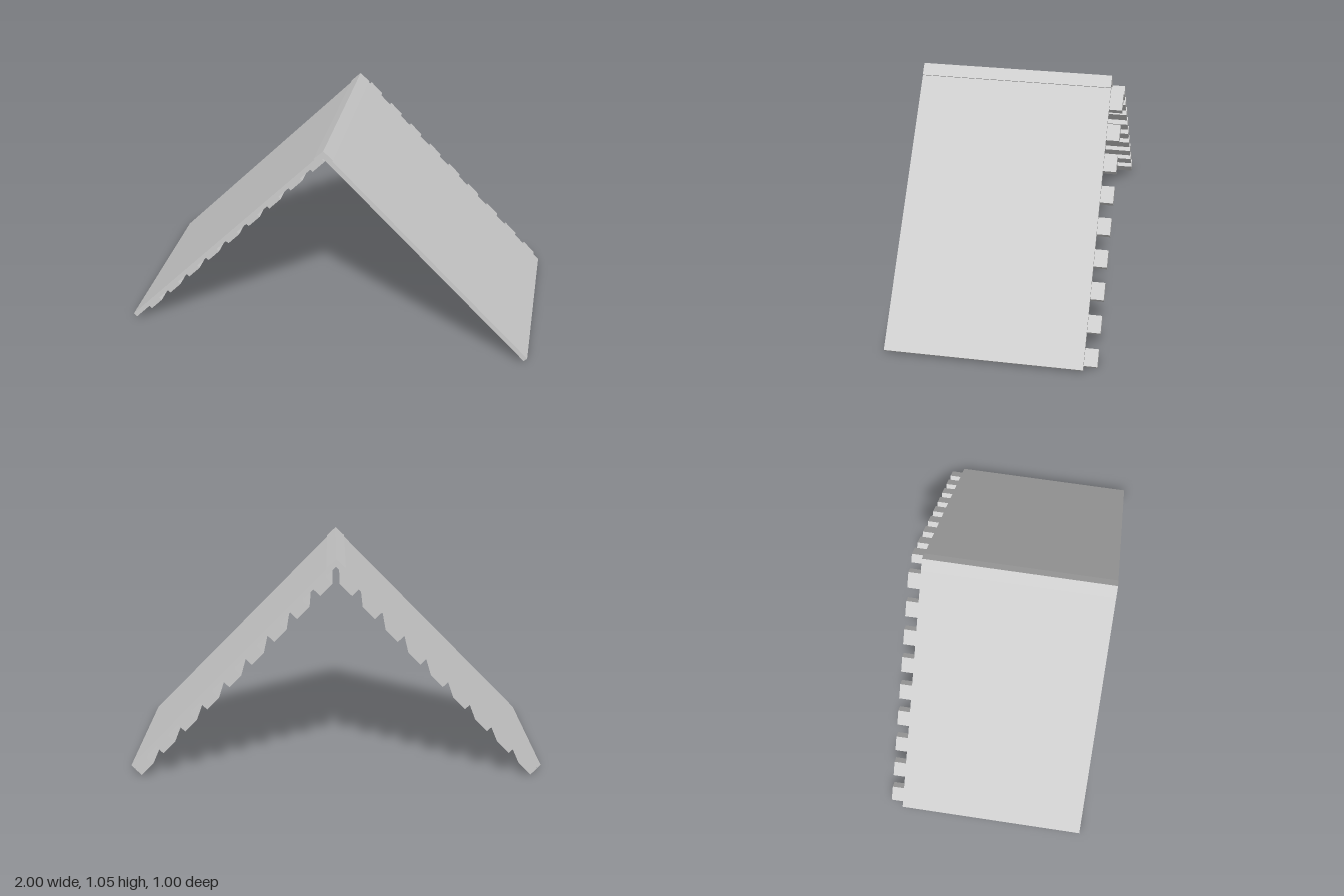
import * as THREE from 'three';

const grey = new THREE.MeshStandardMaterial({ color: 0xcccccc });
grey.name = 'plain grey';

// Straight prism along z from a cross-section in x and y
function prism(name, points, z0, z1) {
  const shape = new THREE.Shape(points.map(([x, y]) => new THREE.Vector2(x, y)));
  const geometry = new THREE.ExtrudeGeometry(shape, { depth: z1 - z0, bevelEnabled: false });
  geometry.translate(0, 0, z0);
  const mesh = new THREE.Mesh(geometry, grey);
  mesh.name = name;
  return mesh;
}

export function createModel() {
  const roof = new THREE.Group();
  roof.name = 'gableRoof';
  const back = -0.4375, front = 0.5;

  for (const [side, s] of [['left', 1], ['right', -1]]) {
    const mirror = (points) => points.map(([x, y]) => [s * x, y]);

    // Sloping roof panel
    roof.add(prism(side + 'Panel',
      mirror([[0, 1.045], [1, 0.027], [0.984, 0.0105], [0, 1.012]]), back, front));

    // Nine battens under the panel, sticking out at the back
    const battens = new THREE.Group();
    battens.name = side + 'Battens';
    for (let i = 0; i < 9; i++) {
      const x = 0.972 - i * 0.1083, y = 0.031 + i * 0.1107;
      battens.add(prism('batten', mirror([
        [x, y], [x - 0.058, y + 0.059], [x - 0.0897, y + 0.028], [x - 0.0317, y - 0.031],
      ]), -0.5, 0.4));
    }
    roof.add(battens);
  }

  // Folded cap along the ridge
  roof.add(prism('ridgeCap', [
    [0, 1.05], [0.046, 1.0065], [0.036, 0.9965], [0, 1.03], [-0.036, 0.9965], [-0.046, 1.0065],
  ], back, front));

  return roof;
}
